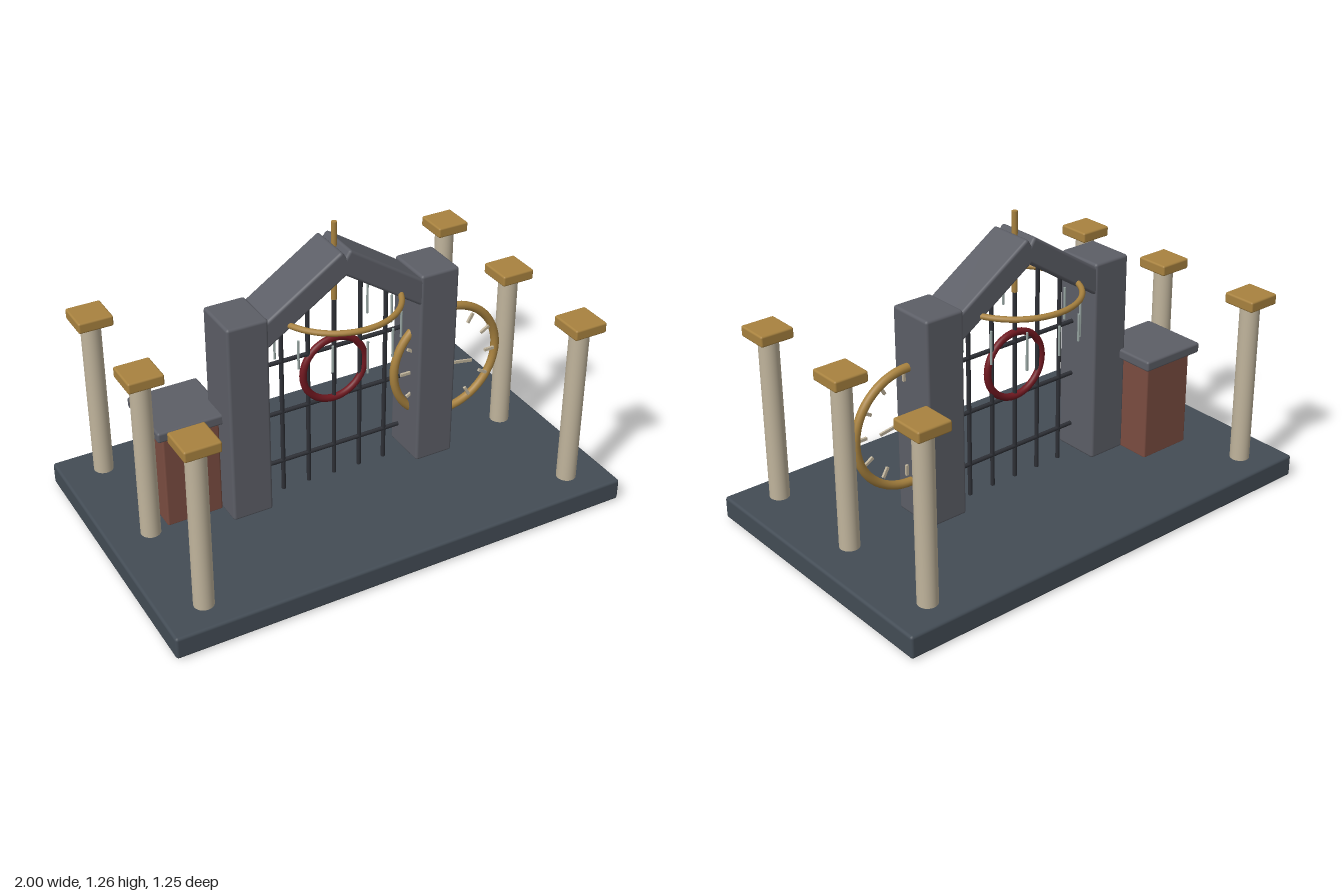
import * as THREE from 'three';
import { RoundedBoxGeometry } from 'three/addons/geometries/RoundedBoxGeometry.js';

const paint = (color) => new THREE.MeshStandardMaterial({ color });

export function createModel() {
  const model = new THREE.Group();
  const slate = paint(0x434c55), stone = paint(0x5c5e66), cream = paint(0xc0b49c);
  const brass = paint(0xa8823f), iron = paint(0x2e3036), red = paint(0x701820);
  const brick = paint(0x7a4c40), soil = paint(0x5a3a20), silver = paint(0x9aa8a5);

  const add = (parent, name, geometry, material, x, y, z) => {
    const mesh = new THREE.Mesh(geometry, material);
    mesh.name = name;
    mesh.position.set(x, y, z);
    parent.add(mesh);
    return mesh;
  };
  const group = (name, x = 0, y = 0, z = 0) => {
    const g = new THREE.Group();
    g.name = name;
    g.position.set(x, y, z);
    model.add(g);
    return g;
  };
  const block = (w, h, d, r = 0.012) => new RoundedBoxGeometry(w, h, d, 2, r);
  const rod = (r, length, sides = 12) => new THREE.CylinderGeometry(r, r, length, sides);

  // Plinth with a thin brown underside
  add(model, 'base', block(2, 0.096, 1.25), slate, 0, 0.052, 0);
  add(model, 'underside', new THREE.BoxGeometry(1.95, 0.01, 1.2), soil, 0, 0.005, 0);

  // Six free-standing columns with square caps
  const columns = group('columns');
  for (const x of [-0.825, 0.825]) {
    for (const z of [-0.49, 0, 0.49]) {
      add(columns, 'columnShaft', rod(0.041, 0.71, 24), cream, x, 0.455, z);
      add(columns, 'columnCap', block(0.146, 0.046, 0.146, 0.008), brass, x, 0.827, z);
    }
  }

  // Gateway: two piers and two sloping beams that meet at the top
  const gateway = group('gateway');
  const slope = 0.583, beamLength = 0.49;
  for (const side of [-1, 1]) {
    add(gateway, 'pier', block(0.174, 0.88, 0.208), stone, side * 0.423, 0.54, 0);
    const beam = add(gateway, 'roofBeam', block(beamLength, 0.1, 0.2), stone,
      side * (-0.01 + Math.cos(slope) * beamLength / 2),
      1.137 - Math.sin(slope) * beamLength / 2, 0);
    beam.rotation.z = -side * slope;
  }
  add(gateway, 'spire', rod(0.012, 0.335), brass, 0, 1.0925, 0);

  // Iron grille
  const grille = group('grille');
  for (const x of [-0.235, -0.118, 0, 0.118, 0.235]) {
    const top = 1.1 - Math.abs(x) * 0.66;
    add(grille, 'uprightBar', rod(0.009, top - 0.1), iron, x, (top + 0.1) / 2, 0);
  }
  for (const y of [0.24, 0.475, 0.71]) {
    add(grille, 'crossBar', rod(0.009, 0.61), iron, 0, y, 0).rotation.z = Math.PI / 2;
  }
  add(grille, 'redRing', new THREE.TorusGeometry(0.14, 0.015, 12, 48), red, 0, 0.61, 0);

  // Level hoop with twelve hanging chimes of differing length
  const chimes = group('chimes');
  add(chimes, 'hoop', new THREE.TorusGeometry(0.263, 0.012, 12, 64), brass, 0, 0.925, 0)
    .rotation.x = Math.PI / 2;
  const lengths = [0.125, 0.115, 0.125, 0.14, 0.115, 0.125, 0.14, 0.16, 0.115, 0.125, 0.16, 0.14];
  lengths.forEach((length, i) => {
    const a = i * Math.PI / 6;
    add(chimes, 'chime', rod(0.005, length, 8), silver,
      Math.cos(a) * 0.263, 0.87 - length / 2, Math.sin(a) * 0.263);
  });

  // Open clock on the left pier
  const clock = group('clock', 0.515, 0.505, 0.02);
  add(clock, 'clockRim', new THREE.TorusGeometry(0.247, 0.018, 12, 64), brass, 0, 0, 0);
  for (let i = 0; i < 12; i++) {
    const a = i * Math.PI / 6;
    add(clock, 'hourMark', new THREE.BoxGeometry(0.045, 0.012, 0.01), cream,
      Math.cos(a) * 0.205, Math.sin(a) * 0.205, 0.02).rotation.z = a;
  }
  const hand = (name, length, angle, z) => {
    const reach = length / 2 - 0.02;
    add(clock, name, new THREE.BoxGeometry(length, 0.012, 0.008), cream,
      Math.cos(angle) * reach, Math.sin(angle) * reach, z).rotation.z = angle;
  };
  hand('hourHand', 0.11, 1.93, 0.03);
  hand('minuteHand', 0.13, -0.17, 0.036);
  add(clock, 'hub', rod(0.012, 0.03), brass, 0, 0, 0.03).rotation.x = Math.PI / 2;

  // Brick pedestal behind the right pier
  const pedestal = group('pedestal', -0.63, 0, -0.12);
  add(pedestal, 'brickBody', block(0.24, 0.43, 0.24, 0.008), brick, 0, 0.31, 0);
  add(pedestal, 'pedestalCap', block(0.3, 0.045, 0.3, 0.01), stone, 0, 0.542, 0);

  return model;
}
